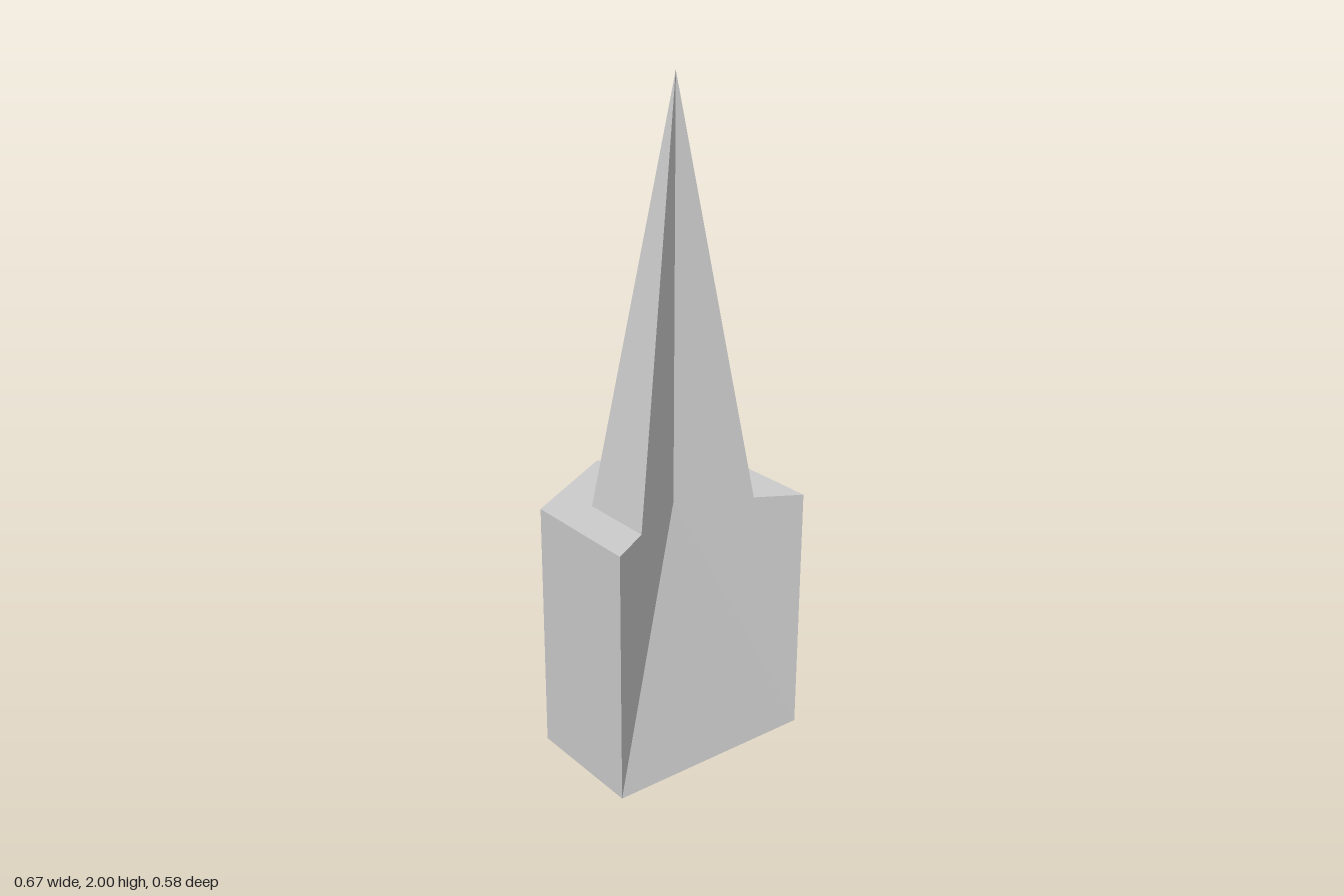
import * as THREE from 'three';

const AXIS_Z = 0.096;   // hexagon centre
const BLOCK_R = 0.385, BLOCK_H = 0.77;
const SPIRE_R = 0.237, TOP = 2;

// Five corners of a hexagon, open at the front, counter-clockwise from above
function ring(radius, y) {
  return [1, 2, 3, 4, 5].map((k) => {
    const a = (k * Math.PI) / 3;
    return new THREE.Vector3(radius * Math.sin(a), y, AXIS_Z + radius * Math.cos(a));
  });
}

// Flat-shaded mesh from convex polygons
function polygonMesh(name, polygons) {
  const points = [];
  for (const p of polygons) {
    for (let i = 1; i < p.length - 1; i++) points.push(p[0], p[i], p[i + 1]);
  }
  const geometry = new THREE.BufferGeometry().setFromPoints(points);
  geometry.computeVertexNormals();
  const material = new THREE.MeshStandardMaterial({ color: 0xcccccc, flatShading: true });
  const mesh = new THREE.Mesh(geometry, material);
  mesh.name = name;
  return mesh;
}

export function createModel() {
  const group = new THREE.Group();
  group.name = 'notchedSpire';

  const low = ring(BLOCK_R, 0);
  const high = ring(BLOCK_R, BLOCK_H);
  const inner = ring(SPIRE_R, BLOCK_H);
  const centre = new THREE.Vector3(0, BLOCK_H, AXIS_Z);
  const apex = new THREE.Vector3(0, TOP, AXIS_Z);

  // Block: floor, sloping front and the two upright notch walls
  const block = [
    [...low].reverse(),
    [low[4], low[0], centre],
    [low[0], high[0], centre],
    [low[4], centre, high[4]],
  ];
  // Spire: the two upright front faces
  const spire = [
    [inner[0], apex, centre],
    [centre, apex, inner[4]],
  ];
  // Outer walls, ledge and sloping spire faces
  for (let i = 0; i < 4; i++) {
    const j = i + 1;
    block.push([low[i], low[j], high[j], high[i]]);
    block.push([high[i], high[j], inner[j], inner[i]]);
    spire.push([inner[i], inner[j], apex]);
  }

  group.add(polygonMesh('baseBlock', block), polygonMesh('spire', spire));
  return group;
}
